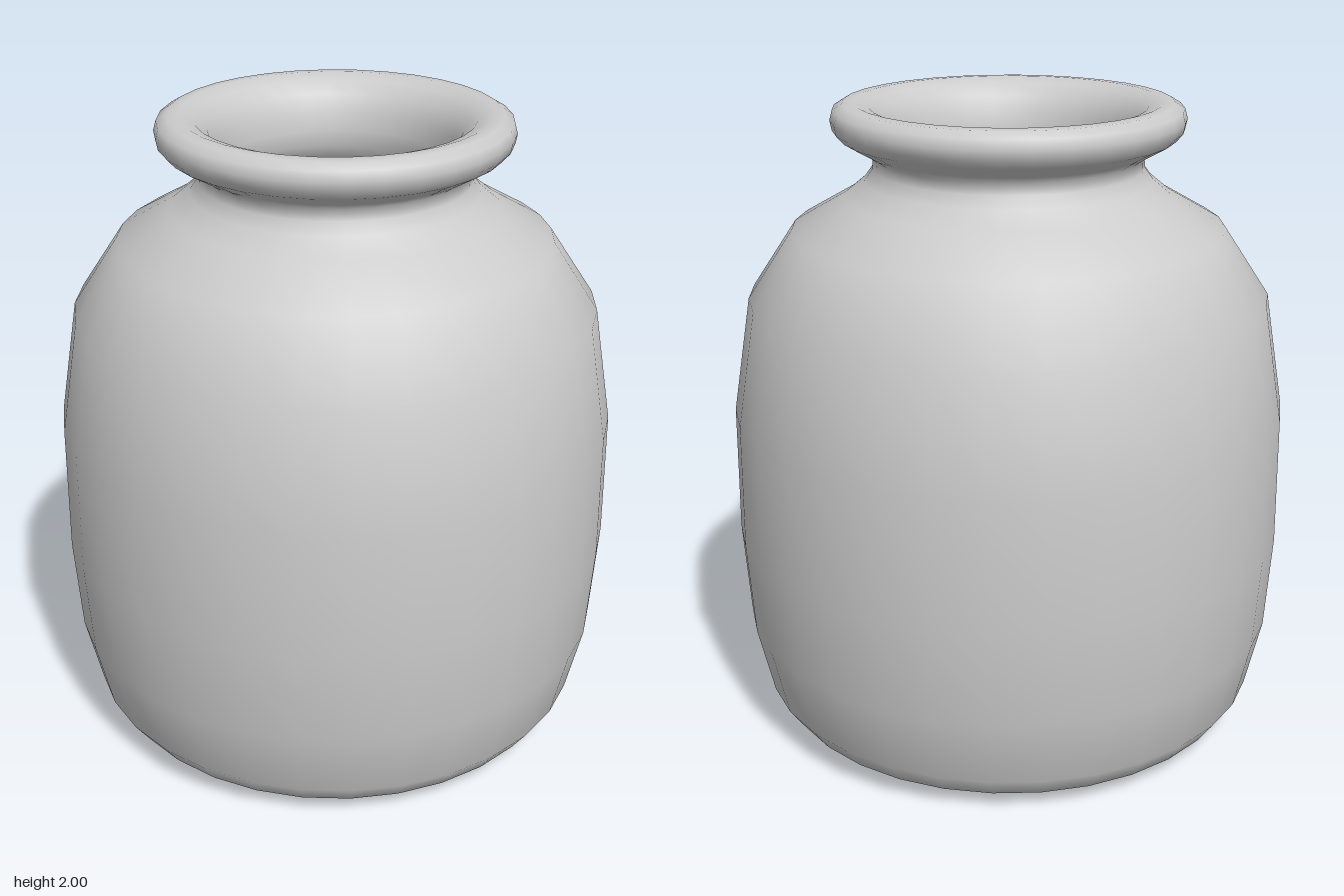
import * as THREE from 'three';

const toPoints = (list) => list.map(([r, y]) => new THREE.Vector2(r, y));

export function createModel() {
  const group = new THREE.Group();
  group.name = 'jar';
  const material = new THREE.MeshStandardMaterial({ color: 0xcccccc });

  // Outside: slightly domed base, rounded foot, belly, shoulder and neck
  const outside = [
    [0, 0], [0.4, 0.007], [0.64, 0.02], [0.75, 0.06], [0.8, 0.13],
    [0.85, 0.35], [0.87, 0.65], [0.865, 1.05], [0.805, 1.41], [0.665, 1.62],
    [0.5, 1.715], [0.44, 1.765], [0.415, 1.8], [0.412, 1.835],
  ];
  // Rolled lip around the mouth
  const lip = [
    [0.44, 1.855], [0.51, 1.895], [0.532, 1.92], [0.538, 1.95], [0.53, 1.98],
    [0.5, 1.998], [0.465, 2], [0.42, 1.985], [0.38, 1.95], [0.355, 1.9],
  ];
  // Hollow inside, following the outer wall down to a flat floor
  const inside = [
    [0.345, 1.84], [0.345, 1.79], [0.37, 1.735], [0.46, 1.66], [0.61, 1.57],
    [0.74, 1.38], [0.8, 1.04], [0.805, 0.65], [0.785, 0.36], [0.74, 0.16],
    [0.7, 0.11], [0.63, 0.085], [0, 0.075],
  ];

  const geometry = new THREE.LatheGeometry(toPoints([...outside, ...lip, ...inside]), 32);
  const vessel = new THREE.Mesh(geometry, material);
  vessel.name = 'vessel';
  group.add(vessel);
  return group;
}
